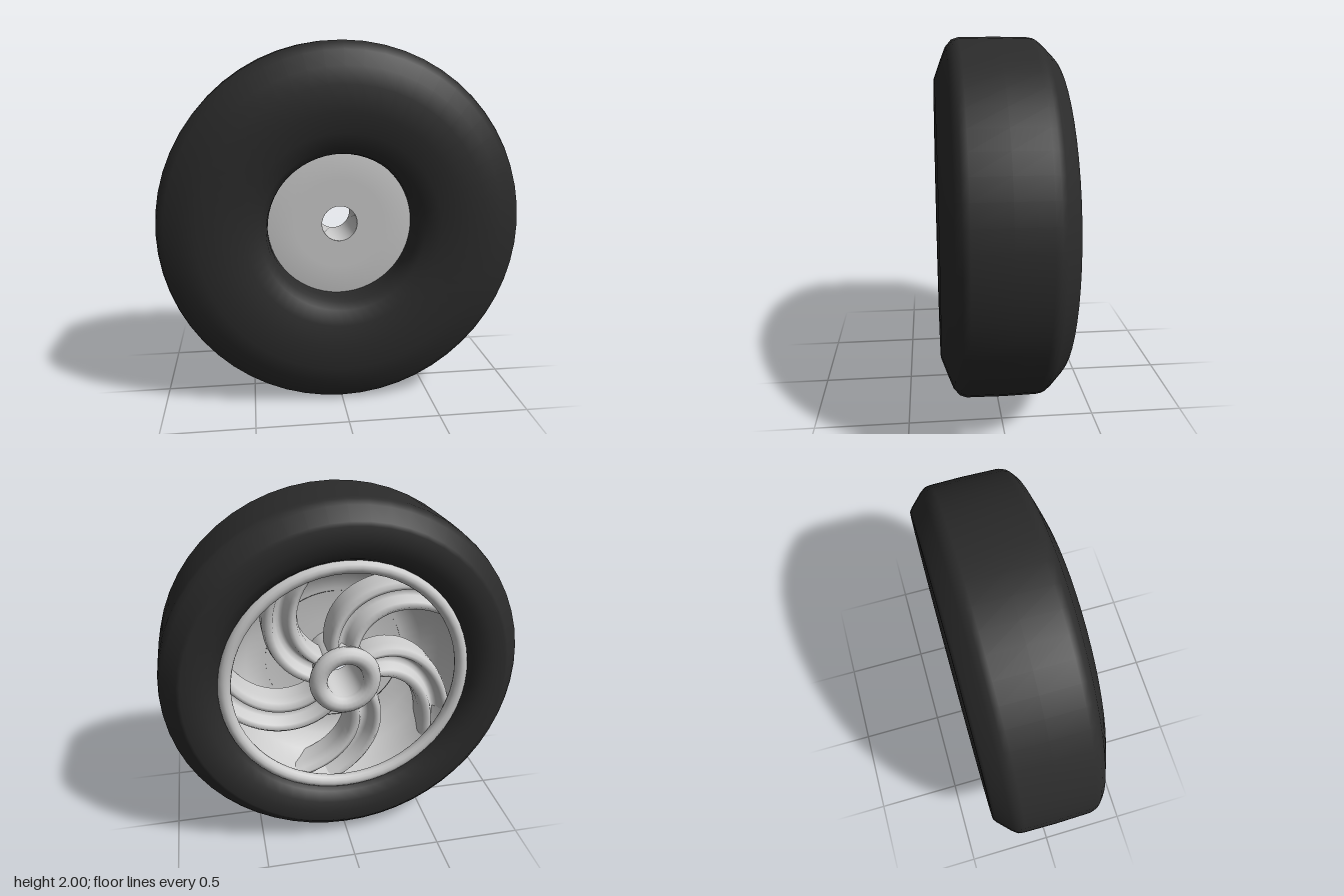
import * as THREE from 'three';

const metal = new THREE.MeshStandardMaterial({ color: 0xcccccc, side: THREE.DoubleSide });
const rubber = new THREE.MeshStandardMaterial({ color: 0x2b2b2b, side: THREE.DoubleSide });

const AXLE_Y = 1;

function add(group, name, geometry, material) {
  const mesh = new THREE.Mesh(geometry, material);
  mesh.name = name;
  group.add(mesh);
  return mesh;
}

// Revolve [radius, z] pairs about the z axis.
function revolve(profile, segments = 56) {
  const pts = profile.map(([r, z]) => new THREE.Vector2(r, z));
  return new THREE.LatheGeometry(pts, segments).rotateX(Math.PI / 2);
}

// Swirling double-ridged spoke: a cross-section swept from hub to rim.
function spokeGeometry() {
  const section = [
    [-1, -0.02], [-1, -0.13], [-0.9, -0.18], [-0.68, -0.205], [-0.42, -0.19],
    [-0.2, -0.13], [0, -0.1], [0.2, -0.13], [0.42, -0.19], [0.68, -0.205],
    [0.9, -0.18], [1, -0.13], [1, -0.02],
  ];
  const steps = 18, n = section.length;
  const positions = [], index = [];
  for (let i = 0; i <= steps; i++) {
    const t = i / steps;
    const r = 0.14 + 0.51 * t;
    const sweep = 0.85 * Math.pow(t, 1.5);
    const half = (0.085 + 0.075 * t) / r;
    const dish = 0.02 * Math.sin(Math.PI * t);
    for (const [u, z] of section) {
      const a = sweep + u * half;
      positions.push(r * Math.cos(a), r * Math.sin(a), z + dish);
    }
  }
  for (let i = 0; i < steps; i++) {
    for (let j = 0; j < n - 1; j++) {
      const a = i * n + j, b = a + 1, c = a + n, d = c + 1;
      index.push(a, b, c, b, d, c);
    }
  }
  const g = new THREE.BufferGeometry();
  g.setAttribute('position', new THREE.Float32BufferAttribute(positions, 3));
  g.setIndex(index);
  g.computeVertexNormals();
  return g;
}

export function createModel() {
  const model = new THREE.Group();
  model.name = 'wheel';
  const wheel = new THREE.Group();
  wheel.name = 'wheelAssembly';
  wheel.position.y = AXLE_Y;
  model.add(wheel);

  // Tyre: shallow bevel at the back, wide bevel and deep mouth at the front
  add(wheel, 'tire', revolve([
    [0.67, -0.15], [0.685, -0.23], [0.71, -0.275], [0.76, -0.312], [0.82, -0.32],
    [0.885, -0.32], [0.905, -0.305], [0.97, -0.24], [0.992, -0.21], [0.997, -0.18],
    [1, 0], [0.997, 0.19], [0.985, 0.225], [0.95, 0.255], [0.87, 0.287], [0.78, 0.32],
    [0.64, 0.318], [0.53, 0.302], [0.45, 0.275], [0.415, 0.235], [0.405, 0.17], [0.405, 0.09],
  ]), rubber);

  // Wheel dish closing the front, open towards the back
  add(wheel, 'wheelDish', revolve([
    [0.1, 0.095], [0.25, 0.095], [0.42, 0.095], [0.52, 0.06],
    [0.6, -0.02], [0.64, -0.12], [0.665, -0.23],
  ]), metal);

  // Rounded lip around the dish
  add(wheel, 'rimLip', new THREE.TorusGeometry(0.658, 0.036, 12, 56), metal)
    .position.z = -0.235;

  // Hub sleeve with a through hole and a rounded collar
  add(wheel, 'hubSleeve', revolve([
    [0.1, 0.095], [0.1, -0.22], [0.17, -0.22], [0.17, 0.09],
  ], 32), metal);
  add(wheel, 'hubCollar', new THREE.TorusGeometry(0.15, 0.05, 12, 32), metal)
    .position.z = -0.215;

  // Five swirling double spokes
  const spoke = spokeGeometry();
  for (let i = 0; i < 5; i++) {
    add(wheel, 'spoke', spoke, metal).rotation.z = Math.PI / 2 + (i * 2 * Math.PI) / 5;
  }

  return model;
}
